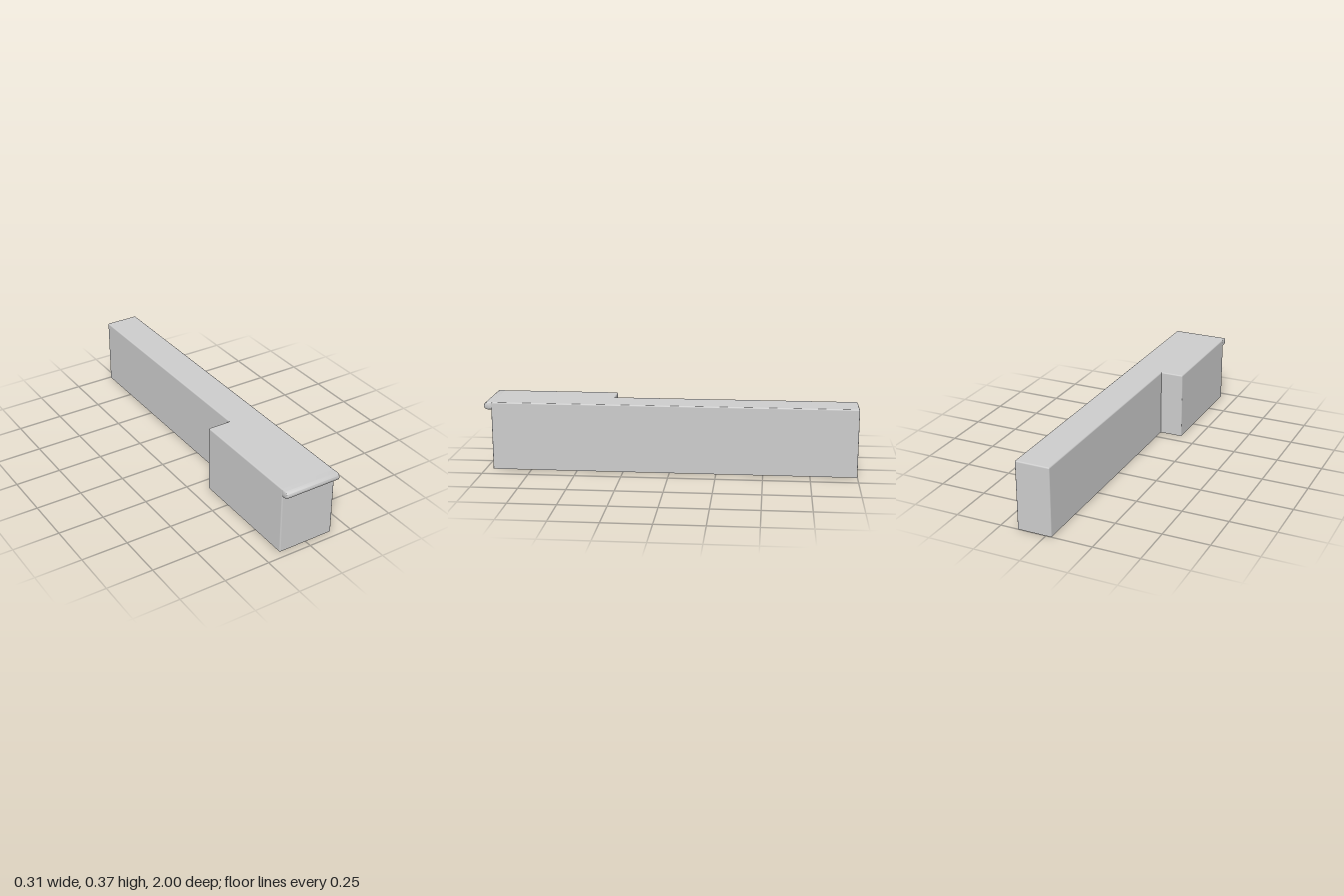
import * as THREE from 'three';
import { toCreasedNormals } from 'three/addons/utils/BufferGeometryUtils.js';

const H = 0.37;        // overall height
const W = 0.156;       // half width at the front
const R = 0.007;       // edge rounding
const FRONT = 0.96;    // front wall
const STEPS = 4;

// L-shaped plan [x, z], ordered with the outside on the left of travel
const PLAN = [[-W, FRONT], [W, FRONT], [W, -1], [-0.03, -1], [-0.03, 0.315], [-W, 0.315]];

// Points of the plan inset by R, each with its outward directions
function planRing() {
  const ring = [];
  const n = PLAN.length;
  const normal = (a, b) => {
    const dx = b[0] - a[0], dz = b[1] - a[1], l = Math.hypot(dx, dz);
    return [-dz / l, dx / l];
  };
  PLAN.forEach((p, i) => {
    const n0 = normal(PLAN[(i + n - 1) % n], p);
    const n1 = normal(p, PLAN[(i + 1) % n]);
    const mitre = [n0[0] + n1[0], n0[1] + n1[1]];
    const core = [p[0] - R * mitre[0], p[1] - R * mitre[1]];
    const convex = n0[0] * n1[1] - n0[1] * n1[0] < 0;
    if (convex) {
      for (let k = 0; k <= STEPS; k++) {
        const t = (k / STEPS) * Math.PI / 2;
        const d = [0, 1].map(c => n0[c] * Math.cos(t) + n1[c] * Math.sin(t));
        ring.push({ core, offset: d, normal: d });
      }
    } else {
      ring.push({ core, offset: mitre, normal: n0 }, { core, offset: mitre, normal: n1 });
    }
  });
  return ring;
}

// Walls and rounded top edge as stacked rings, closed by a flat top, open below
function shellGeometry() {
  const ring = planRing();
  const levels = [{ y: 0, a: 0 }];
  for (let k = 0; k <= STEPS; k++) {
    const a = (k / STEPS) * Math.PI / 2;
    levels.push({ y: H - R + R * Math.sin(a), a });
  }
  const pos = [], nor = [], idx = [], m = ring.length;
  for (const { y, a } of levels) {
    const c = Math.cos(a), s = Math.sin(a);
    for (const q of ring) {
      pos.push(q.core[0] + R * c * q.offset[0], y, q.core[1] + R * c * q.offset[1]);
      nor.push(q.normal[0] * c, s, q.normal[1] * c);
    }
  }
  for (let j = 0; j < levels.length - 1; j++) {
    for (let i = 0; i < m; i++) {
      const a = j * m + i, b = j * m + (i + 1) % m;
      idx.push(a, b, b + m, a, b + m, a + m);
    }
  }
  // top cap
  const cores = [...new Set(ring.map(q => q.core))];
  const base = pos.length / 3;
  for (const c of cores) {
    pos.push(c[0], H, c[1]);
    nor.push(0, 1, 0);
  }
  const flat = cores.map(c => new THREE.Vector2(c[0], -c[1]));
  for (const f of THREE.ShapeUtils.triangulateShape(flat, [])) idx.push(...f.map(v => base + v));

  const geo = new THREE.BufferGeometry();
  geo.setAttribute('position', new THREE.Float32BufferAttribute(pos, 3));
  geo.setAttribute('normal', new THREE.Float32BufferAttribute(nor, 3));
  geo.setIndex(idx);
  return geo;
}

// Rounded nosing along the top of the front wall
function nosingGeometry() {
  const r = 0.02, back = FRONT - R, bevel = 0.006;
  const shape = new THREE.Shape();
  shape.moveTo(-back, H - 2 * r);
  shape.lineTo(-back, H);
  shape.lineTo(-(1 - r), H);
  shape.absarc(-(1 - r), H - r, r, Math.PI / 2, Math.PI * 1.5, false);
  shape.closePath();
  const geo = new THREE.ExtrudeGeometry(shape, {
    depth: 2 * (W - bevel), curveSegments: 20,
    bevelThickness: bevel, bevelSize: bevel, bevelOffset: -bevel, bevelSegments: 4,
  });
  geo.translate(0, 0, -(W - bevel));
  geo.rotateY(Math.PI / 2);
  return toCreasedNormals(geo, 0.6);
}

export function createModel() {
  const model = new THREE.Group();
  const material = new THREE.MeshStandardMaterial({ color: 0xcccccc, side: THREE.DoubleSide });
  const add = (name, geo) => {
    const mesh = new THREE.Mesh(geo, material);
    mesh.name = name;
    model.add(mesh);
  };
  add('counterShell', shellGeometry());
  add('frontNosing', nosingGeometry());
  return model;
}
